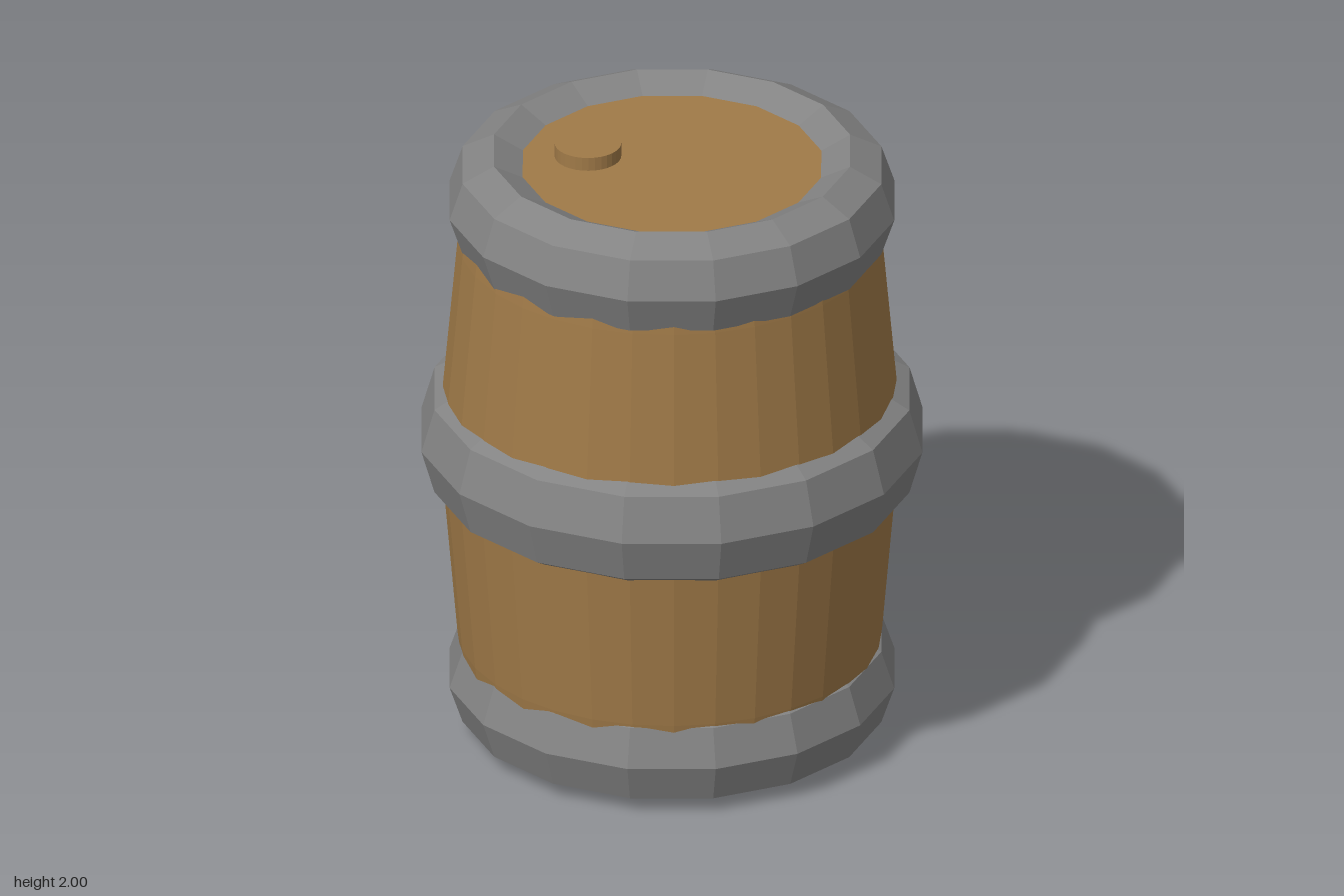
import * as THREE from 'three';

const wood = new THREE.MeshStandardMaterial({ color: 0xa07a48, flatShading: true });
const metal = new THREE.MeshStandardMaterial({ color: 0x838383, flatShading: true });

// Chunky hoop: octagonal tube, 16 sides around, stretched vertically
function hoop(name, y, radius, tube, halfHeight) {
  const geometry = new THREE.TorusGeometry(radius, tube, 8, 16);
  geometry.rotateX(-Math.PI / 2);
  geometry.rotateY(-0.021);
  geometry.scale(1, halfHeight / tube, 1);
  const mesh = new THREE.Mesh(geometry, metal);
  mesh.name = name;
  mesh.position.y = y;
  return mesh;
}

export function createModel() {
  const barrel = new THREE.Group();
  barrel.name = 'barrel';

  // Wooden body, closed by the lid on top and a recessed bottom
  const profile = [
    [0, 0.08], [0.635, 0.08], [0.667, 0.31], [0.713, 0.85], [0.72, 1.015],
    [0.713, 1.18], [0.667, 1.69], [0.635, 1.953], [0, 1.953],
  ].map(([r, y]) => new THREE.Vector2(r, y));
  const body = new THREE.Mesh(new THREE.LatheGeometry(profile, 32), wood);
  body.name = 'body';
  body.position.x = -0.007;
  barrel.add(body);

  // Three hoops
  barrel.add(
    hoop('bottomHoop', 0.175, 0.57, 0.142, 0.175),
    hoop('middleHoop', 1.015, 0.66, 0.142, 0.205),
    hoop('topHoop', 1.825, 0.57, 0.142, 0.175),
  );

  // Bung on the lid
  const bung = new THREE.Mesh(new THREE.CylinderGeometry(0.105, 0.105, 0.06, 32), wood);
  bung.name = 'bung';
  bung.position.set(-0.27, 1.968, -0.01);
  barrel.add(bung);

  return barrel;
}
